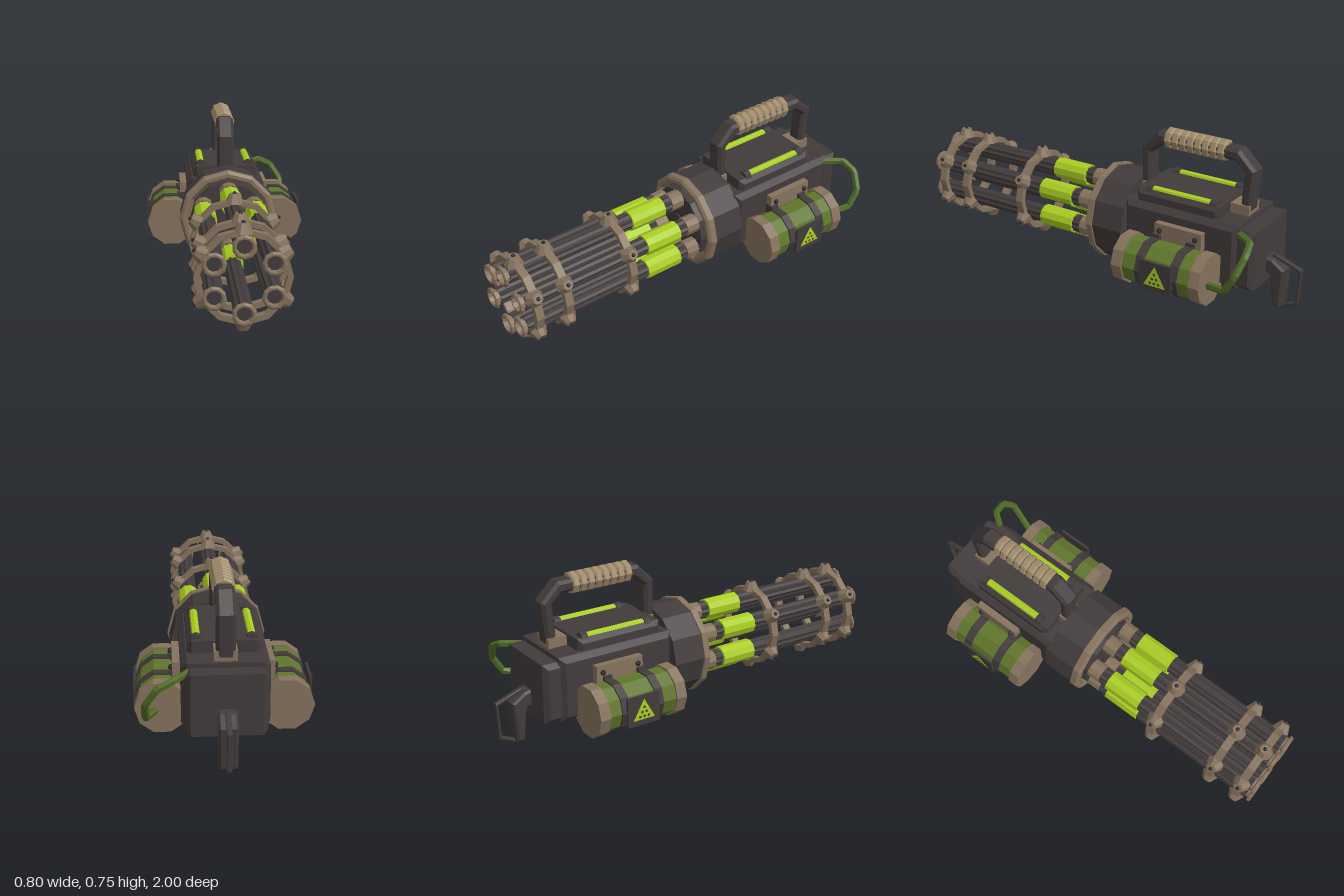
import * as THREE from 'three';

const paint = (name, color) => new THREE.MeshStandardMaterial({ name, color, flatShading: true });

export function createModel() {
  const dark = paint('dark metal', 0x423b3b);
  const black = paint('black bolts', 0x29292d);
  const tan = paint('bronze', 0x86725d);
  const gripTan = paint('grip tan', 0xa08a6a);
  const lime = paint('lime glow', 0xa9cd22);
  const olive = paint('olive tank', 0x5f752b);
  const hoseGreen = paint('hose green', 0x4f6b24);

  const model = new THREE.Group();
  model.name = 'rotaryCannon';

  const add = (parent, name, geo, mat, x = 0, y = 0, z = 0) => {
    const m = new THREE.Mesh(geo, mat);
    m.name = name;
    m.position.set(x, y, z);
    parent.add(m);
    return m;
  };
  const group = (parent, name, x = 0, y = 0, z = 0) => {
    const g = new THREE.Group();
    g.name = name;
    g.position.set(x, y, z);
    parent.add(g);
    return g;
  };
  // cylinder lying along z, from z0 (radius r0) to z1 (radius r1)
  const rod = (r0, r1, z0, z1, sides) =>
    new THREE.CylinderGeometry(r1, r0, z1 - z0, sides).rotateX(Math.PI / 2).translate(0, 0, (z0 + z1) / 2);
  // turned part around z from [radius, z] pairs
  const turned = (pts, sides) =>
    new THREE.LatheGeometry(pts.map(p => new THREE.Vector2(p[0], p[1])), sides).rotateX(Math.PI / 2);
  // side outline of [z, y] pairs, given a chamfered width along x
  const slab = (pts, width, bevel) => {
    const shape = new THREE.Shape(pts.map(p => new THREE.Vector2(p[0], p[1])));
    return new THREE.ExtrudeGeometry(shape, {
      depth: width - 2 * bevel, bevelEnabled: true, bevelSize: bevel,
      bevelThickness: bevel, bevelOffset: -bevel, bevelSegments: 1,
    }).translate(0, 0, bevel - width / 2).rotateY(-Math.PI / 2);
  };
  const block = (z0, z1, y0, y1, width, bevel) =>
    slab([[z0, y0], [z1, y0], [z1, y1], [z0, y1]], width, bevel);

  // drum and flange
  const rotor = group(model, 'rotor', 0, 0.273, 0);
  add(rotor, 'drum', rod(0.227, 0.227, -0.185, -0.02, 12), dark);
  add(rotor, 'flange', turned([[0.2, -0.025], [0.235, -0.025], [0.235, 0.005], [0.222, 0.015],
    [0.205, 0.015], [0.185, -0.012]], 12), tan);
  add(rotor, 'rotorPlate', rod(0.185, 0.18, -0.03, 0.03, 12), dark);
  add(rotor, 'hub', rod(0.043, 0.043, 0.02, 0.036, 10), dark);

  // fluted barrel: every second edge pulled inwards
  const fluted = rod(0.043, 0.043, 0.03, 0.97, 20);
  const pos = fluted.attributes.position;
  for (let i = 0; i < pos.count; i++) {
    const x = pos.getX(i), y = pos.getY(i);
    const step = Math.round(Math.atan2(y, x) / (Math.PI / 10));
    if (step % 2 !== 0) { pos.setX(i, x * 0.86); pos.setY(i, y * 0.86); }
  }
  const muzzle = turned([[0.036, 0.955], [0.036, 0.98], [0.051, 0.984], [0.051, 0.995], [0.044, 1],
    [0.036, 1], [0.03, 0.975]], 10);
  for (let k = 0; k < 6; k++) {
    const turn = group(rotor, 'barrelArm');
    turn.rotation.z = k * Math.PI / 3;
    const barrel = group(turn, 'barrel', 0, 0.14, 0);
    add(barrel, 'barrelTube', fluted, dark);
    add(barrel, 'barrelCollar', rod(0.046, 0.046, 0.03, 0.095, 10), tan);
    add(barrel, 'energySleeve', rod(0.051, 0.051, 0.14, 0.325, 10), lime);
    add(barrel, 'muzzle', muzzle, tan);
    add(barrel, 'bore', rod(0.031, 0.031, 0.96, 0.978, 10), dark);
  }

  // clamp rings with bolted lugs
  for (const z of [0.43, 0.775, 0.927]) {
    const ring = group(rotor, 'clampRing', 0, 0, z);
    add(ring, 'ringBand', turned([[0.203, -0.019], [0.203, 0.019], [0.178, 0.019],
      [0.178, -0.019], [0.203, -0.019]], 12), tan);
    for (let k = 0; k < 6; k++) {
      const turn = group(ring, 'lugArm');
      turn.rotation.z = k * Math.PI / 3;
      add(turn, 'lug', new THREE.CylinderGeometry(0.024, 0.044, 0.042, 8).rotateY(Math.PI / 8), tan, 0, 0.204, 0);
      add(turn, 'lugBolt', new THREE.SphereGeometry(0.01, 6, 4), black, 0, 0.226, 0);
    }
  }

  // housing
  const body = group(model, 'housing');
  add(body, 'mainBody', block(-0.765, -0.18, 0.125, 0.43, 0.38, 0.025), dark);
  add(body, 'rearCap', block(-0.84, -0.74, 0.13, 0.41, 0.35, 0.022), dark);
  add(body, 'topPlate', block(-0.655, -0.225, 0.41, 0.485, 0.32, 0.02), dark);
  for (const s of [-1, 1]) {
    add(body, 'lightTube', rod(0.02, 0.02, -0.6, -0.3, 8), lime, s * 0.12, 0.48, 0);
    for (const z of [-0.615, -0.285])
      add(body, 'lightTubeCap', rod(0.027, 0.027, z - 0.016, z + 0.016, 8), dark, s * 0.12, 0.478, 0);
  }

  // carrying handle
  const handle = group(model, 'carryHandle');
  add(handle, 'handleFrame', slab([[-0.18, 0.43], [-0.18, 0.64], [-0.26, 0.725], [-0.68, 0.725],
    [-0.765, 0.64], [-0.745, 0.42], [-0.695, 0.42], [-0.71, 0.625], [-0.66, 0.668], [-0.285, 0.668],
    [-0.23, 0.62], [-0.23, 0.43]], 0.084, 0.014), dark);
  add(handle, 'frontMount', new THREE.BoxGeometry(0.1, 0.05, 0.06), tan, 0, 0.45, -0.222);
  add(handle, 'rearMount', new THREE.BoxGeometry(0.1, 0.05, 0.125), tan, 0, 0.45, -0.685);
  for (let i = 0; i < 8; i++) {
    const z = -0.61 + i * 0.039;
    add(handle, 'gripRib', turned([[0, z], [0.043, z], [0.052, z + 0.008], [0.052, z + 0.031],
      [0.043, z + 0.039], [0, z + 0.039]], 8), gripTan, 0, 0.697, 0);
  }

  // side tanks
  const sign = new THREE.Shape([new THREE.Vector2(-0.056, -0.048), new THREE.Vector2(0.056, -0.048),
    new THREE.Vector2(0, 0.05)]);
  for (const s of [-1, 1]) {
    const tank = group(model, s > 0 ? 'leftTank' : 'rightTank', s * 0.27, 0.195, 0);
    const part = (name, r, z0, z1, mat) =>
      add(tank, name, rod(r, r, z0, z1, 10).rotateZ(Math.PI / 2), mat);
    part('tankShell', 0.11, -0.66, -0.27, olive);
    part('frontTankCap', 0.12, -0.292, -0.24, tan);
    part('rearTankCap', 0.12, -0.69, -0.638, tan);
    part('frontStrap', 0.118, -0.402, -0.362, dark);
    part('rearStrap', 0.118, -0.578, -0.538, dark);
    add(tank, 'signPlate', new THREE.BoxGeometry(0.012, 0.14, 0.165), dark, s * 0.118, 0, -0.475);
    add(tank, 'warningTriangle', new THREE.ShapeGeometry(sign).rotateY(s * Math.PI / 2), lime, s * 0.126, 0.005, -0.475);
    for (const [z, y] of [[-0.022, -0.028], [0.022, -0.028], [0, -0.028], [-0.011, -0.006], [0.011, -0.006], [0, 0.016]])
      add(tank, 'warningDot', new THREE.CircleGeometry(0.007, 6).rotateY(s * Math.PI / 2), dark,
        s * 0.128, y, -0.475 + z);
    // bracket joining tank and housing
    add(tank, 'bracket', new THREE.BoxGeometry(0.04, 0.1, 0.24), tan, s * -0.067, 0.125, -0.487);
    for (const z of [-0.395, -0.578])
      add(tank, 'bracketBolt', new THREE.SphereGeometry(0.013, 6, 4), black, s * -0.043, 0.143, z);
    for (const z of [-0.382, -0.558])
      add(tank, 'strapArm', new THREE.BoxGeometry(0.05, 0.05, 0.04), dark, s * -0.055, 0.1, z);
  }

  // feed hose
  const hosePath = new THREE.CurvePath();
  const hosePts = [[0.15, 0.39, -0.75], [0.22, 0.392, -0.845], [0.29, 0.36, -0.86], [0.342, 0.28, -0.84],
    [0.34, 0.2, -0.79], [0.3, 0.18, -0.68]].map(p => new THREE.Vector3(...p));
  for (let i = 1; i < hosePts.length; i++) hosePath.add(new THREE.LineCurve3(hosePts[i - 1], hosePts[i]));
  add(model, 'hose', new THREE.TubeGeometry(hosePath, 30, 0.017, 6), hoseGreen);

  // rear grip and trigger guard
  const rear = group(model, 'rearHandle');
  add(rear, 'rearGrip', slab([[-0.82, 0.26], [-0.87, 0.245], [-0.93, 0.205], [-0.915, 0.015],
    [-0.88, 0.015], [-0.86, 0.17], [-0.82, 0.18]], 0.084, 0.01), dark);
  add(rear, 'guard', slab([[-0.85, 0.25], [-0.87, 0.26], [-1, 0.215], [-0.99, 0.04], [-0.9, 0],
    [-0.9, 0.016], [-0.978, 0.052], [-0.986, 0.203], [-0.87, 0.243]], 0.024, 0.003), dark);

  return model;
}
